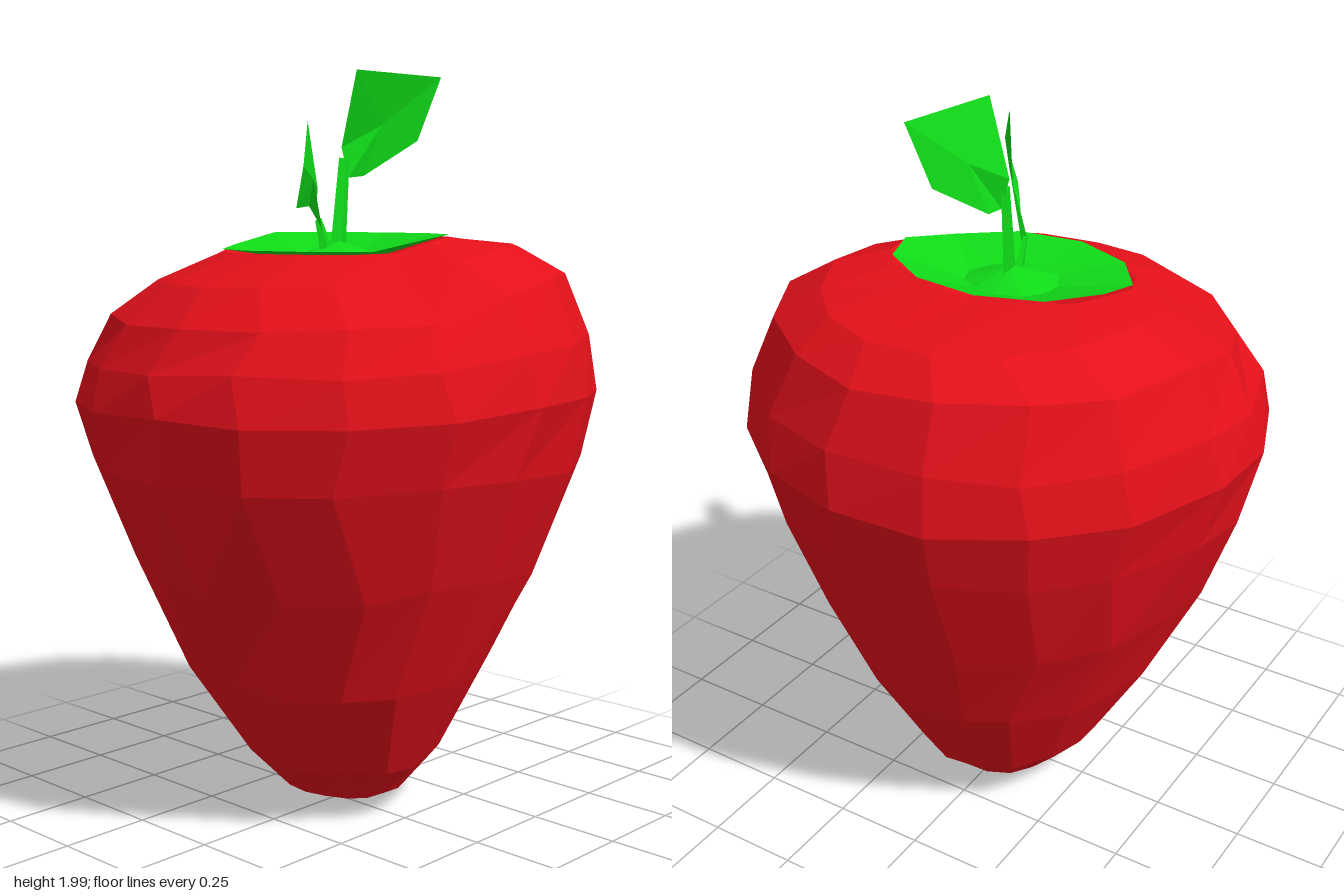
import * as THREE from 'three';

const paint = (color) => new THREE.MeshStandardMaterial({ color, flatShading: true, side: THREE.DoubleSide });

// small seeded noise in the range -1..1
function makeNoise(seed) {
  return () => {
    seed = (seed * 16807) % 2147483647;
    return (seed / 2147483647) * 2 - 1;
  };
}

function meshFrom(name, triangles, material) {
  const geometry = new THREE.BufferGeometry().setFromPoints(triangles);
  geometry.computeVertexNormals();
  const mesh = new THREE.Mesh(geometry, material);
  mesh.name = name;
  return mesh;
}

// Skin over rings listed along the surface: [half width, back depth, front depth, back y, front y, jitter]
function loft(rings, segments, seed = 7) {
  const noise = makeNoise(seed);
  const points = rings.map(([rx, zb, zf, yb, yf, jitter = 0], i) =>
    Array.from({ length: segments }, (_, j) => {
      const a = ((j + (jitter && i % 2 ? 0.12 : 0)) / segments) * Math.PI * 2 + noise() * jitter * 3;
      const s = Math.sin(a);
      const r = 1 - Math.abs(noise()) * jitter;
      const y = THREE.MathUtils.lerp(yb, yf, THREE.MathUtils.smoothstep(s, -0.2, 0.5));
      return new THREE.Vector3(Math.cos(a) * rx * r, y + noise() * jitter, s * (s > 0 ? zf : zb) * r);
    }));
  const triangles = [];
  for (let i = 0; i < rings.length - 1; i++) {
    for (let j = 0; j < segments; j++) {
      const k = (j + 1) % segments;
      const [a, b, c, d] = [points[i][j], points[i + 1][j], points[i][k], points[i + 1][k]];
      if (rings[i][0] > 0) triangles.push(a, b, c);
      if (rings[i + 1][0] > 0) triangles.push(c, b, d);
    }
  }
  return triangles;
}

// Fan of facets from a slightly raised centre to an outline
function leafBlade(outline, centre) {
  const v = outline.map((p) => new THREE.Vector3(...p));
  const c = new THREE.Vector3(...centre);
  return v.flatMap((p, i) => [c, p, v[(i + 1) % v.length]]);
}

// Tapered four-sided stalk between two points
function stalk(from, to, r0, r1) {
  const a = new THREE.Vector3(...from);
  const b = new THREE.Vector3(...to);
  const geometry = new THREE.CylinderGeometry(r1, r0, a.distanceTo(b), 4);
  geometry.scale(0.35, 1, 1);
  const mesh = new THREE.Mesh(geometry, paint(0x10dc18));
  mesh.position.copy(a).lerp(b, 0.5);
  mesh.quaternion.setFromUnitVectors(new THREE.Vector3(0, 1, 0), b.sub(a).normalize());
  mesh.name = 'leafStalk';
  return mesh;
}

export function createModel() {
  const model = new THREE.Group();
  model.name = 'strawberry';
  const green = paint(0x10dc18);

  // fruit: pointed base, broad shoulders lower at the front, hollow under the cap
  const fruit = [
    [0, 0, 0, 0.01, 0.01],
    [0.18, 0.2, 0.14, 0.06, 0.06, 0.005],
    [0.27, 0.3, 0.23, 0.16, 0.16, 0.01],
    [0.415, 0.44, 0.41, 0.42, 0.41, 0.015],
    [0.555, 0.56, 0.55, 0.7, 0.7, 0.018],
    [0.655, 0.665, 0.675, 0.98, 0.97, 0.015],
    [0.695, 0.71, 0.71, 1.16, 1.14, 0.01],
    [0.67, 0.69, 0.68, 1.3, 1.25, 0.012],
    [0.59, 0.63, 0.62, 1.46, 1.36, 0.01],
    [0.45, 0.54, 0.5, 1.54, 1.45, 0.006],
    [0.33, 0.25, 0.3, 1.565, 1.525],
    [0.12, 0.1, 0.12, 1.45, 1.45],
    [0, 0, 0, 1.45, 1.45],
  ];
  model.add(meshFrom('fruit', loft(fruit, 17), paint(0xe4101a)));

  // leafy cap: shallow dish with a small dome in the middle
  const cap = [
    [0.325, 0.245, 0.295, 1.572, 1.532],
    [0.125, 0.1, 0.14, 1.515, 1.508],
    [0, 0, 0, 1.555, 1.555],
  ];
  model.add(meshFrom('cap', loft(cap, 11), green));

  // tall leaf leaning back
  const tallLeaf = new THREE.Group();
  tallLeaf.name = 'tallLeaf';
  tallLeaf.add(stalk([0, 1.52, 0], [-0.005, 1.77, -0.03], 0.03, 0.02));
  tallLeaf.add(meshFrom('tallLeafBlade', leafBlade([
    [0, 1.72, -0.04], [-0.02, 1.8, -0.035], [0.04, 2, -0.03],
    [0.11, 1.99, -0.29], [0.07, 1.82, -0.24], [0, 1.725, -0.1],
  ], [0.03, 1.86, -0.14]), green));
  model.add(tallLeaf);

  // short leaf leaning forward and to the left
  const shortLeaf = new THREE.Group();
  shortLeaf.name = 'shortLeaf';
  shortLeaf.add(stalk([0, 1.52, 0.04], [0, 1.61, 0.075], 0.025, 0.012));
  shortLeaf.add(meshFrom('shortLeafBlade', leafBlade([
    [0, 1.585, 0.06], [0, 1.61, 0.08], [0.11, 1.695, 0.19], [0.195, 1.85, 0.31],
    [0.26, 1.74, 0.39], [0.19, 1.64, 0.345], [0.1, 1.645, 0.21],
  ], [0.165, 1.71, 0.26]), green));
  model.add(shortLeaf);

  return model;
}
